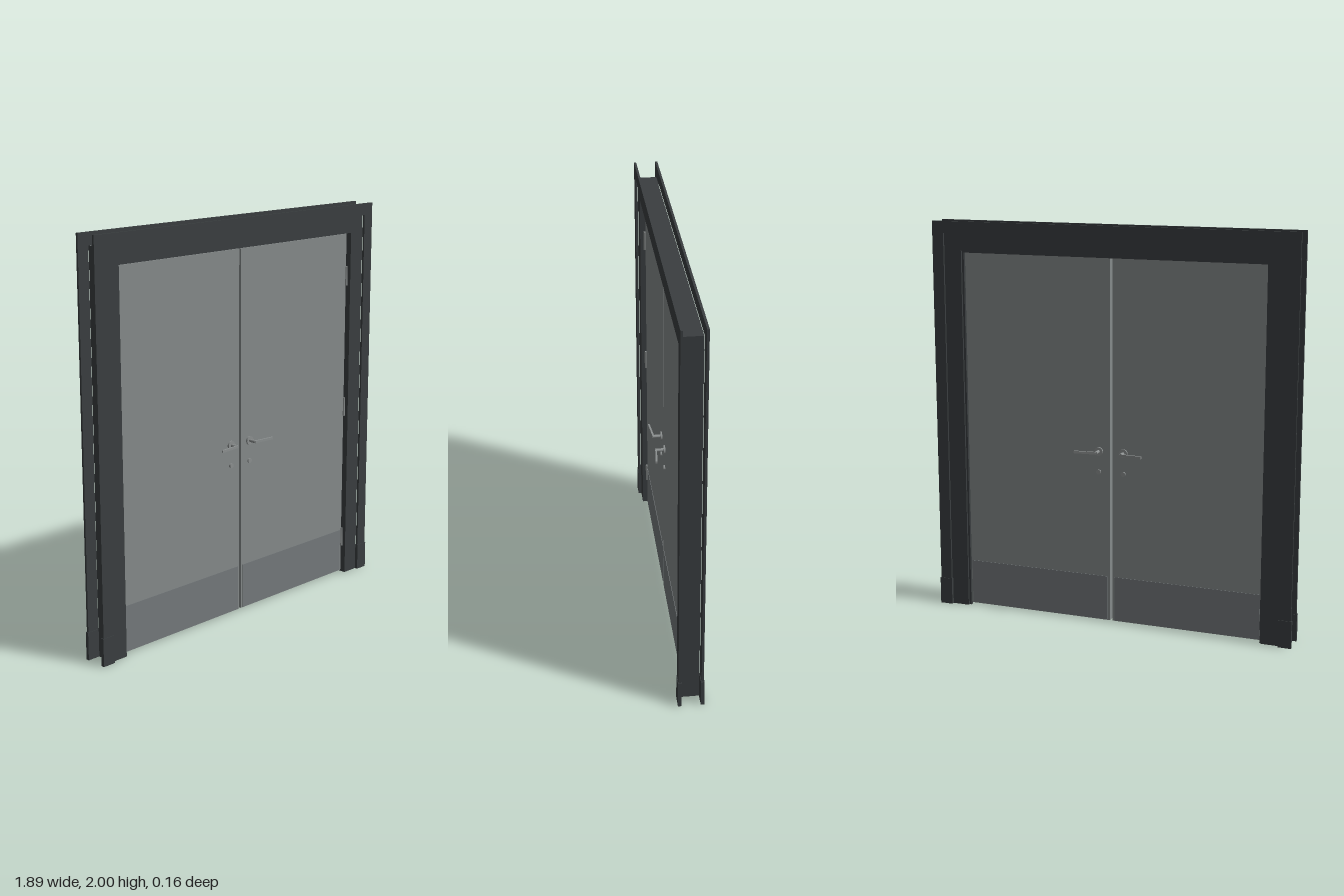
import * as THREE from 'three';

const frameMat = new THREE.MeshStandardMaterial({ color: 0x3a3e40 });
const doorMat = new THREE.MeshStandardMaterial({ color: 0x858a8a });
const plateMat = new THREE.MeshStandardMaterial({ color: 0x74797b });
const metalMat = new THREE.MeshStandardMaterial({ color: 0x8c9090 });

function add(parent, name, geometry, material, x = 0, y = 0, z = 0) {
  const mesh = new THREE.Mesh(geometry, material);
  mesh.name = name;
  mesh.position.set(x, y, z);
  parent.add(mesh);
  return mesh;
}

// Box given by its extents on each axis
function box(parent, name, material, [x0, x1], [y0, y1], [z0, z1]) {
  return add(parent, name, new THREE.BoxGeometry(Math.abs(x1 - x0), y1 - y0, Math.abs(z1 - z0)),
    material, (x0 + x1) / 2, (y0 + y1) / 2, (z0 + z1) / 2);
}

// Upside-down U standing on the floor, extruded from z0 to z1
function portal(parent, name, outerX, outerY, innerX, innerY, z0, z1) {
  const shape = new THREE.Shape([
    [-outerX, 0], [-innerX, 0], [-innerX, innerY], [innerX, innerY],
    [innerX, 0], [outerX, 0], [outerX, outerY], [-outerX, outerY],
  ].map(([x, y]) => new THREE.Vector2(x, y)));
  const geometry = new THREE.ExtrudeGeometry(shape, { depth: z1 - z0, bevelEnabled: false });
  return add(parent, name, geometry, frameMat, 0, 0, z0);
}

// Disc whose axis runs along z
function disc(parent, name, radius, depth, x, y, z) {
  const geometry = new THREE.CylinderGeometry(radius, radius, depth, 24).rotateX(Math.PI / 2);
  return add(parent, name, geometry, metalMat, x, y, z);
}

// Lever, rosette and lock cover for one face of one leaf
function handleSet(parent, side, face) {
  const set = new THREE.Group();
  set.name = 'handleSet';
  const x = side * 0.065;
  disc(set, 'rosette', 0.022, 0.008, x, 0.885, face * 0.024);
  disc(set, 'lockCover', 0.012, 0.008, x, 0.78, face * 0.024);
  disc(set, 'spindle', 0.008, 0.046, x, 0.885, face * 0.043);
  const lever = add(set, 'lever', new THREE.BoxGeometry(0.118, 0.012, 0.009), metalMat,
    side * 0.118, 0.885, face * 0.069);
  lever.rotation.y = -side * face * 0.09;
  parent.add(set);
}

export function createModel() {
  const model = new THREE.Group();
  model.name = 'doubleDoor';

  // Jambs and head, with a stop behind the leaves
  portal(model, 'frame', 0.88, 1.94, 0.79, 1.855, -0.047, 0.047);
  portal(model, 'doorStop', 0.79, 1.855, 0.78, 1.845, -0.036, -0.021);

  // Casing and plinth blocks on both faces
  for (const face of [1, -1]) {
    const [z0, z1] = face > 0 ? [0.049, 0.06] : [-0.06, -0.049];
    portal(model, 'casing', 0.94, 2, 0.88, 1.94, z0, z1);
    for (const side of [1, -1]) {
      box(model, 'plinthBlock', frameMat, [side * 0.878, side * 0.944], [0, 0.138],
        [face * 0.046, face * 0.063]);
    }
  }

  // Two leaves, mirrored about the meeting gap
  for (const side of [1, -1]) {
    const leaf = new THREE.Group();
    leaf.name = side > 0 ? 'leftLeaf' : 'rightLeaf';
    box(leaf, 'panel', doorMat, [side * 0.006, side * 0.786], [0.008, 1.848], [-0.02, 0.02]);
    for (const face of [1, -1]) {
      box(leaf, 'kickPlate', plateMat, [side * 0.018, side * 0.775], [0.01, 0.24],
        [face * 0.02, face * 0.0225]);
      handleSet(leaf, side, face);
    }
    // Hinge knuckles on the front edge
    for (const y of [0.2, 0.93, 1.63]) {
      add(leaf, 'hinge', new THREE.CylinderGeometry(0.006, 0.006, 0.1, 12), metalMat,
        side * 0.786, y, 0.024);
    }
    model.add(leaf);
  }
  return model;
}
